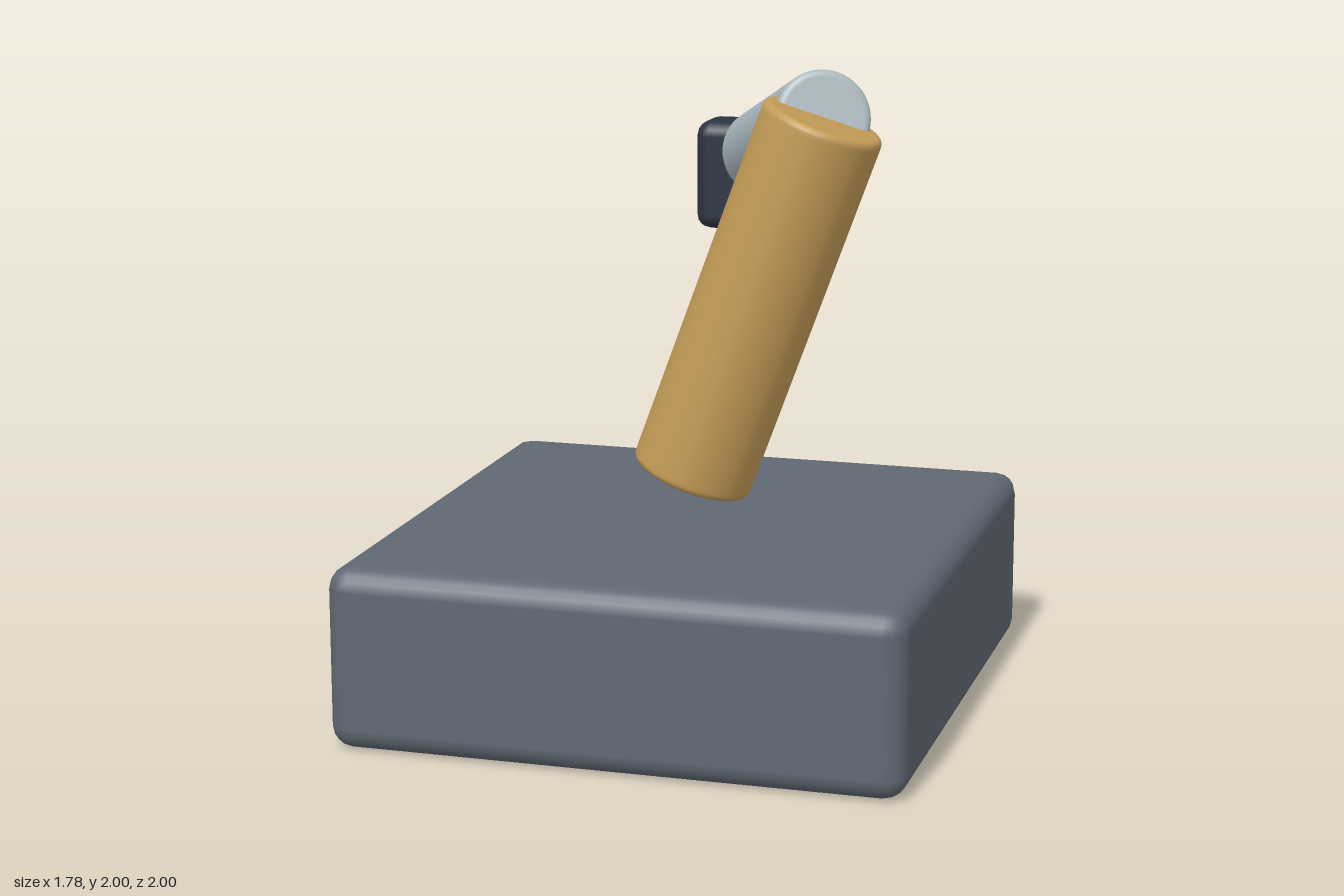
import * as THREE from 'three';
import { RoundedBoxGeometry } from 'three/addons/geometries/RoundedBoxGeometry.js';

function material(name, color) {
  const m = new THREE.MeshStandardMaterial({ color });
  m.name = name;
  return m;
}

// Box with softly rounded edges
function block(name, size, position, radius, mat) {
  const mesh = new THREE.Mesh(new RoundedBoxGeometry(...size, 2, radius), mat);
  mesh.name = name;
  mesh.position.set(...position);
  return mesh;
}

// Rod with rounded rims running from one point to another
function rod(name, from, to, radius, bevel, mat) {
  const a = new THREE.Vector3(...from), b = new THREE.Vector3(...to);
  const half = a.distanceTo(b) / 2;
  const rim = [new THREE.Vector2(radius, half - bevel - 0.01)];
  for (let i = 0; i <= 4; i++) {
    const t = (i / 4) * Math.PI / 2;
    rim.push(new THREE.Vector2(radius - bevel + bevel * Math.cos(t), half - bevel + bevel * Math.sin(t)));
  }
  rim.push(new THREE.Vector2(radius - bevel - 0.005, half), new THREE.Vector2(0, half));
  const lower = rim.map(p => new THREE.Vector2(p.x, -p.y)).reverse();
  const mesh = new THREE.Mesh(new THREE.LatheGeometry([...lower, ...rim], 48), mat);
  mesh.name = name;
  mesh.position.copy(a).add(b).multiplyScalar(0.5);
  mesh.quaternion.setFromUnitVectors(new THREE.Vector3(0, 1, 0), b.sub(a).normalize());
  return mesh;
}

export function createModel() {
  const slate = material('slate grey', 0x5f6873);
  const gold = material('ochre', 0xc39b56);
  const silver = material('pale silver', 0xabb9bf);
  const dark = material('dark navy', 0x2c3441);

  const model = new THREE.Group();
  model.name = 'roboticArm';
  model.add(
    // Heavy base
    block('base', [1.784, 0.57, 1.784], [0, 0.285, 0.108], 0.07, slate),
    // Leaning lower arm, floating just over the base
    rod('lowerArm', [0, 0.705, 0.108], [0.425, 1.858, 0.108], 0.193, 0.022, gold),
    // Upper arm reaching backwards and down
    rod('upperArm', [0.42, 1.86, 0.09], [0, 1.61, -0.79], 0.15, 0.02, silver),
    // Gripper block at the end of the arm
    block('gripper', [0.495, 0.37, 0.21], [-0.004, 1.52, -0.895], 0.05, dark)
  );
  return model;
}
